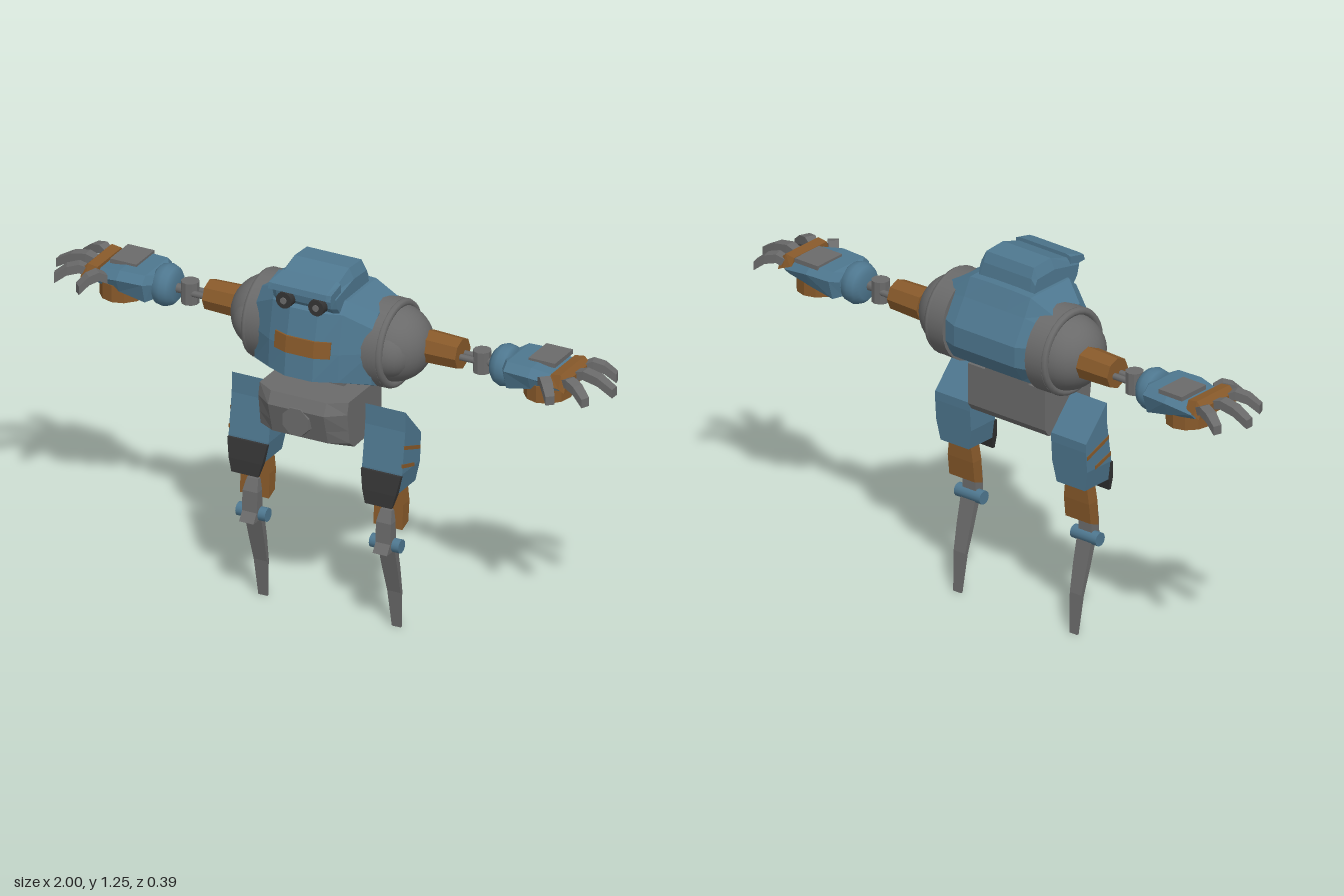
import * as THREE from 'three';

const mat = (name, color) => {
  const m = new THREE.MeshStandardMaterial({ color });
  m.name = name;
  return m;
};

// Closed solid through rings of equal length; facets stay flat.
function loft(rings) {
  const tris = [], n = rings[0].length;
  const V = rings.map(r => r.map(p => new THREE.Vector3(...p)));
  for (let i = 0; i < V.length - 1; i++) {
    for (let j = 0; j < n; j++) {
      const k = (j + 1) % n;
      tris.push([V[i][j], V[i][k], V[i + 1][k]], [V[i][j], V[i + 1][k], V[i + 1][j]]);
    }
  }
  [[V[0], true], [V[V.length - 1], false]].forEach(([ring, flip]) => {
    const c = ring.reduce((a, p) => a.add(p), new THREE.Vector3()).divideScalar(n);
    ring.forEach((p, j) => {
      const q = ring[(j + 1) % n];
      tris.push(flip ? [c, q, p] : [c, p, q]);
    });
  });
  // Turn the faces outward if the solid came out inverted
  const vol = tris.reduce((s, [a, b, c]) => s + a.dot(b.clone().cross(c)), 0);
  const pts = tris.flatMap(([a, b, c]) => (vol < 0 ? [a, c, b] : [a, b, c]));
  const g = new THREE.BufferGeometry().setFromPoints(pts);
  g.computeVertexNormals();
  return g;
}

function flat(g) {
  const f = g.index ? g.toNonIndexed() : g;
  f.computeVertexNormals();
  return f;
}

function mirrored(g) {
  const m = g.index ? g.toNonIndexed() : g.clone();
  for (const key of ['position', 'normal']) {
    const a = m.attributes[key];
    for (let i = 0; i < a.count; i += 3) {
      const v = [0, 2, 1].map(k => [-a.getX(i + k), a.getY(i + k), a.getZ(i + k)]);
      v.forEach((p, k) => a.setXYZ(i + k, ...p));
    }
  }
  return m;
}

const box = (x0, x1, y0, y1, z0, z1) =>
  new THREE.BoxGeometry(x1 - x0, y1 - y0, z1 - z0).translate((x0 + x1) / 2, (y0 + y1) / 2, (z0 + z1) / 2);

// Cylinder lying along x
const rodX = (x0, x1, r0, r1, y, z, sides) =>
  new THREE.CylinderGeometry(r1, r0, x1 - x0, sides).rotateZ(-Math.PI / 2).translate((x0 + x1) / 2, y, z);

const sphere = (r, x, y, z) => new THREE.SphereGeometry(r, 28, 18).translate(x, y, z);

// Limb solid around x = cx; each row is front y, front z, back y, back z, half width
const limb = (cx, rows) => loft(rows.map(([yf, zf, yb, zb, w]) =>
  [[cx - w, yf, zf], [cx + w, yf, zf], [cx + w, yb, zb], [cx - w, yb, zb]]));

// Solid across x from side profiles of [z, y]
const across = rows => loft(rows.map(([x, prof]) => prof.map(([z, y]) => [x, y, z])));
const symmetric = rows => across([...rows.map(([x, p]) => [-x, p]), ...rows.slice().reverse()]);

export function createModel() {
  const root = new THREE.Group();
  root.name = 'robot';
  const blue = mat('blue paint', 0x4e778f), orange = mat('orange paint', 0x87592a);
  const gray = mat('gray metal', 0x6a6a6a), dark = mat('dark metal', 0x343434);

  const add = (name, g, m) => {
    const mesh = new THREE.Mesh(g, m);
    mesh.name = name;
    root.add(mesh);
  };
  const pair = (name, g, m) => {
    add('left ' + name, g, m);
    add('right ' + name, mirrored(g), m);
  };

  // Torso shell
  const side = [[.08, .89], [.085, 1], [.07, 1.08], [.03, 1.12], [-.1, 1.125], [-.13, 1.09], [-.165, 1.03],
    [-.165, .95], [-.13, .88], [-.05, .87], [.04, .87]];
  const mid = [[.145, .905], [.14, 1], [.115, 1.13], [.08, 1.165], [-.11, 1.165], [-.14, 1.105], [-.19, 1.02],
    [-.19, .95], [-.15, .89], [-.05, .885], [.08, .875]];
  const core = [[.178, .905], [.168, 1], [.14, 1.13], [.1, 1.168], [-.11, 1.168], [-.14, 1.105], [-.19, 1.02],
    [-.19, .95], [-.15, .89], [-.05, .89], [.08, .88]];
  add('torso', symmetric([[.21, side], [.125, mid], [.05, core]]), blue);

  // Chest stripe follows the bent chest front
  const stripe = (x, z) => [x, [[z - .012, .985], [z + .001, .985], [z - .007, 1.04], [z - .02, 1.04]]];
  add('chest stripe', symmetric([stripe(.1, .154), stripe(.05, .173)]), orange);

  // Head with overhanging brow
  const crown = [[.15, 1.205], [.02, 1.25], [-.062, 1.245], [-.075, 1.21], [-.082, 1.15], [.12, 1.13], [.14, 1.155]];
  const crownEdge = [[.14, 1.19], [.02, 1.215], [-.065, 1.21], [-.075, 1.19], [-.082, 1.15], [.11, 1.13], [.13, 1.155]];
  add('head', symmetric([[.115, crownEdge], [.098, crown]]), blue);
  add('brow', symmetric([[.112, [[.172, 1.195], [.165, 1.215], [.1, 1.23], [.1, 1.19]]],
    [.095, [[.172, 1.195], [.168, 1.215], [.1, 1.235], [.1, 1.19]]]]), blue);
  const eye = (r, z0, z1) => new THREE.CylinderGeometry(r, r, z1 - z0, 16)
    .rotateX(Math.PI / 2).translate(.058, 1.162, (z0 + z1) / 2);
  pair('eye rim', eye(.028, .1, .168), dark);
  pair('eye lens', eye(.011, .165, .172), gray);

  // Waist and pelvis
  add('waist', box(-.09, .09, .83, .92, -.08, .04), gray);
  const hip = [[.175, .84], [.195, .8], [.178, .74], [.165, .695], [.1, .67], [-.062, .675], [-.08, .7], [-.08, .84]];
  const hipSide = hip.map(([z, y]) => [Math.min(z, .1 + (z - .1) * .5), y]);
  add('pelvis', symmetric([[.16, hipSide], [.1, hip]]), gray);
  add('pelvis cap', flat(new THREE.CylinderGeometry(.05, .056, .05, 8)
    .rotateY(Math.PI / 8).rotateX(Math.PI / 2).translate(0, .76, .172)), gray);

  // Shoulders
  pair('shoulder collar', rodX(.17, .235, .148, .146, .99, -.045, 28), gray);
  pair('shoulder rim', new THREE.TorusGeometry(.134, .013, 8, 32).rotateY(Math.PI / 2).translate(.24, .99, -.045), gray);
  pair('shoulder ball', sphere(.127, .223, .99, -.05), gray);
  pair('shoulder dome', sphere(.09, .232, .985, -.002), gray);

  // Arms
  pair('upper arm', flat(rodX(.33, .455, .056, .052, .99, -.075, 8)), orange);
  for (const z of [-.09, -.06]) pair('elbow rod', rodX(.45, .51, .011, .011, .985, z, 8), gray);
  pair('elbow joint', flat(new THREE.CylinderGeometry(.03, .03, .075, 10).translate(.525, .983, -.075)), gray);
  pair('elbow pin', rodX(.54, .6, .016, .016, .985, -.075, 8), gray);
  const cuff = [[0, .57], [.045, .57], [.062, .585], [.07, .605], [.066, .63], [.05, .645], [0, .645]]
    .map(p => new THREE.Vector2(...p));
  pair('wrist ball', new THREE.LatheGeometry(cuff, 24).rotateZ(-Math.PI / 2).translate(0, .985, -.08), blue);

  // Hands
  const palm = (x, w, y0, y1) => [[x, y0, -.083 - w + .02], [x, y1 - .025, -.083 - w], [x, y1, -.083 - w + .025],
    [x, y1, -.083 + w - .025], [x, y1 - .025, -.083 + w], [x, y0, -.083 + w - .02]];
  pair('hand', loft([palm(.63, .07, .95, 1.03), palm(.65, .1, .945, 1.037), palm(.74, .105, .965, 1.037),
    palm(.84, .09, .975, 1.02)]), blue);
  pair('hand plate', box(.705, .8, 1.03, 1.045, -.17, -.05), gray);
  pair('palm disc', flat(new THREE.CylinderGeometry(.078, .078, .058, 12)
    .scale(1, 1, 1.14).translate(.763, .954, -.08)), orange);
  pair('knuckle strap', loft([[.815, 1.0, 1.035], [.85, .995, 1.04], [.87, .985, 1.02]].map(([x, a, b]) =>
    [[x, a, -.17], [x, b, -.155], [x, b, .005], [x, a, .02]])), orange);

  // Fingers: root x and z, tip x and z
  const fingers = [[.85, -.145, .955, -.178], [.85, -.08, 1, -.075], [.85, -.012, .955, .035], [.785, .005, .85, .075]];
  for (const [x0, z0, x1, z1] of fingers) {
    const len = Math.hypot(x1 - x0, z1 - z0), nx = -(z1 - z0) / len, nz = (x1 - x0) / len;
    pair('finger', loft([[0, 1.005, .016], [.3, 1.02, .018], [.65, 1.01, .018], [1, .98, .015]].map(([t, y, h]) => {
      const x = x0 + (x1 - x0) * t, z = z0 + (z1 - z0) * t, b = .015;
      return [[x - nx * h, y - b, z - nz * h], [x + nx * h, y - b, z + nz * h],
        [x + nx * h, y + b, z + nz * h], [x - nx * h, y + b, z - nz * h]];
    })), gray);
  }

  // Thighs and knee guards
  const cx = .24;
  pair('thigh', limb(cx, [[.8, .042, .69, -.06, .072], [.73, .043, .66, -.06, .072],
    [.59, .064, .59, -.055, .072], [.52, .066, .52, -.05, .058]]), blue);
  pair('knee guard', limb(cx, [[.585, .073, .585, .06, .072], [.52, .086, .52, .066, .06],
    [.475, .09, .475, .08, .048]]), dark);
  const band = (y0, y1, z0, z1, x) => loft([x - .003, x + .002].map(k =>
    [[k, y0, z0], [k, y1, z1], [k, y1 + .013, z1], [k, y0 + .013, z0]]));
  pair('upper thigh stripe', band(.672, .632, .05, -.056, .312), orange);
  pair('lower thigh stripe', band(.612, .588, .061, -.015, .312), orange);

  // Shins, ankles and blade feet
  pair('shin', limb(cx, [[.54, .015, .54, -.025, .042], [.46, .02, .46, -.022, .052],
    [.375, .026, .39, -.014, .052]]), orange);
  pair('shin strut', limb(cx, [[.44, .038, .44, .018, .02], [.4, .055, .4, .022, .027],
    [.3, .06, .31, .02, .027]]), gray);
  pair('ankle spur', limb(cx, [[.335, .055, .335, .03, .026], [.3, .08, .3, .03, .026]]), gray);
  pair('ankle pin', rodX(.187, .293, .023, .023, .32, .032, 14), blue);
  pair('foot blade', limb(cx, [[.31, .038, .315, .016, .03], [.22, .012, .225, -.006, .028],
    [.13, -.014, .135, -.026, .024], [0, -.03, 0, -.038, .016]]), gray);

  return root;
}
